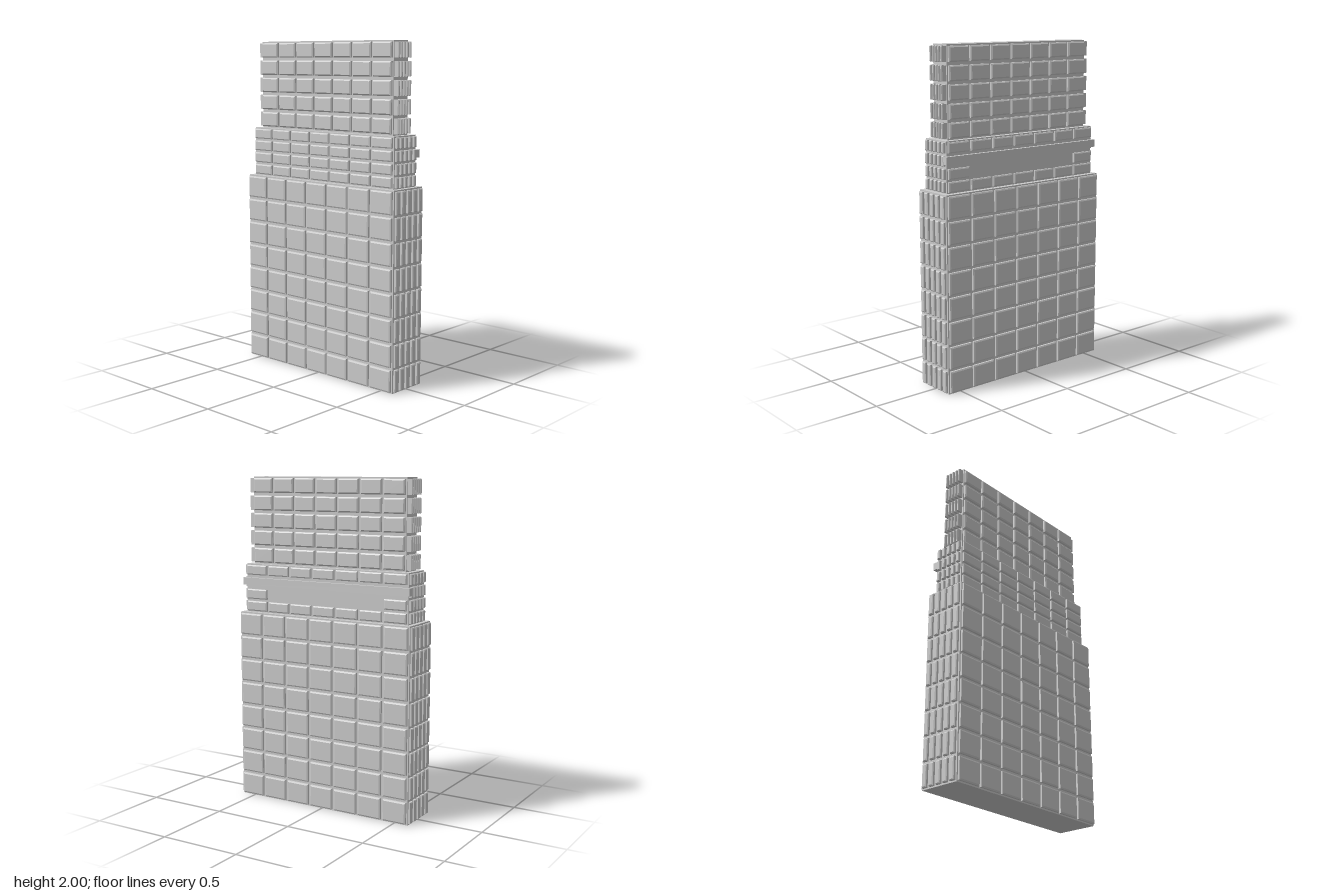
import * as THREE from 'three';
import { mergeGeometries } from 'three/addons/utils/BufferGeometryUtils.js';

const material = new THREE.MeshStandardMaterial({ color: 0xcccccc, flatShading: true });

// Slab facing +z, standing on z = 0, with a chamfered outer rim
function panelGeometry(w, h, depth, inset, bevel) {
  const sunk = 0.004;
  const geo = new THREE.BoxGeometry(w, h, 2, 1, 1, 2);
  const p = geo.attributes.position;
  for (let i = 0; i < p.count; i++) {
    const z = p.getZ(i);
    if (z > 0.5) {
      p.setXYZ(i, Math.sign(p.getX(i)) * (w / 2 - inset), Math.sign(p.getY(i)) * (h / 2 - inset), depth);
    } else {
      p.setZ(i, z < -0.5 ? -sunk : depth - bevel);
    }
  }
  const flat = geo.toNonIndexed();
  flat.computeVertexNormals();
  return flat;
}

function addMesh(parent, name, geometry) {
  const mesh = new THREE.Mesh(geometry, material);
  mesh.name = name;
  parent.add(mesh);
  return mesh;
}

// Grid of panels on a wall; keep(row, col) decides which cells are filled
function addFacade(parent, name, o) {
  const cellW = o.width / o.cols, cellH = o.height / o.rows;
  const base = panelGeometry(o.panelW, o.panelH, o.depth, o.inset, o.bevel);
  const parts = [];
  for (let r = 0; r < o.rows; r++) {
    for (let c = 0; c < o.cols; c++) {
      if (o.keep && !o.keep(r, c)) continue;
      parts.push(base.clone().translate((c + 0.5) * cellW - o.width / 2, (r + 0.5) * cellH, o.offset));
    }
  }
  const mesh = addMesh(parent, name, mergeGeometries(parts));
  mesh.rotation.y = o.turn;
  mesh.position.y = o.y;
}

// Tiers from the ground up: core half sizes, rows and panel sizes
const TIERS = [
  { name: 'lowerTier', y: 0, top: 1.173, x: 0.127, z: 0.587, rows: 8, panelH: 0.13,
    sideW: 0.152, endW: 0.032, sideDepth: 0.016, endDepth: 0.016, sideInset: 0.008, endInset: 0.006, bevel: 0.004 },
  { name: 'middleTier', y: 1.173, top: 1.47, x: 0.096, z: 0.56, rows: 4, panelH: 0.06,
    sideW: 0.144, endW: 0.023, sideDepth: 0.015, endDepth: 0.017, sideInset: 0.007, endInset: 0.004, bevel: 0.004 },
  { name: 'upperTier', y: 1.47, top: 2, x: 0.063, z: 0.525, rows: 5, panelH: 0.088,
    sideW: 0.136, endW: 0.014, sideDepth: 0.016, endDepth: 0.033, sideInset: 0.008, endInset: 0.004, bevel: 0.006 },
];

export function createModel() {
  const model = new THREE.Group();
  model.name = 'steppedTower';

  for (const t of TIERS) {
    const tier = new THREE.Group();
    tier.name = t.name;
    model.add(tier);

    const height = t.top - t.y;
    addMesh(tier, 'core', new THREE.BoxGeometry(t.x * 2, height, t.z * 2)).position.y = t.y + height / 2;

    const shared = { y: t.y, height, rows: t.rows, panelH: t.panelH, bevel: t.bevel };
    const side = { ...shared, width: t.z * 2, cols: 7, panelW: t.sideW, depth: t.sideDepth, inset: t.sideInset, offset: t.x };
    const end = { ...shared, width: t.x * 2, cols: 5, panelW: t.endW, depth: t.endDepth, inset: t.endInset, offset: t.z };

    // On the middle tier's left wall the panels make room for the band
    const keep = t.name === 'middleTier'
      ? (r, c) => r === 0 || r === 3 || (r === 1 && (c === 0 || c === 6))
      : null;
    addFacade(tier, 'leftPanels', { ...side, turn: Math.PI / 2, keep });
    addFacade(tier, 'rightPanels', { ...side, turn: -Math.PI / 2 });
    addFacade(tier, 'frontPanels', { ...end, turn: 0 });
    addFacade(tier, 'backPanels', { ...end, turn: Math.PI });
  }

  // Long projecting band along the middle tier's left wall
  const band = addMesh(model, 'balconyBand', new THREE.BoxGeometry(0.034, 0.045, 1.15));
  band.position.set(0.1, 1.363, 0);

  return model;
}
